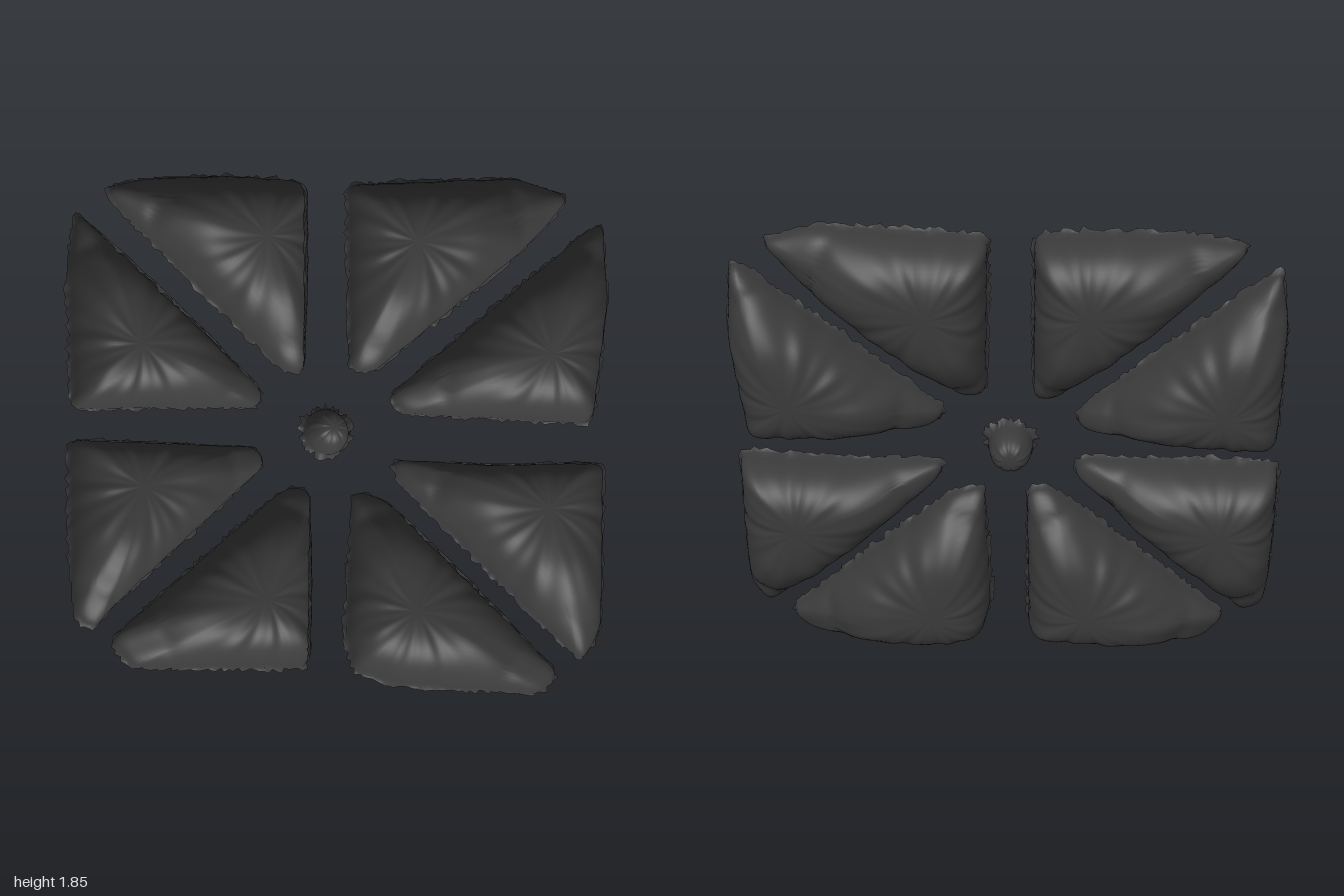
import * as THREE from 'three';

const fabric = new THREE.MeshStandardMaterial({ color: 0x3a3a3a, side: THREE.DoubleSide });

// Small seeded generator for the frayed hems
let seed = 7;
const rand = () => (seed = (seed * 16807) % 2147483647) / 2147483647;

// Closed outline with rounded corners, sampled evenly
function roundedOutline(corners, radius, count) {
  const pts = corners.map(c => new THREE.Vector2(...c));
  if (THREE.ShapeUtils.isClockWise(pts)) pts.reverse();
  const path = new THREE.Path();
  const toward = (a, b) => a.clone().lerp(b, Math.min(0.5, radius / a.distanceTo(b)));
  pts.forEach((p, i) => {
    const s = toward(p, pts[(i + pts.length - 1) % pts.length]);
    const e = toward(p, pts[(i + 1) % pts.length]);
    if (i === 0) path.moveTo(s.x, s.y); else path.lineTo(s.x, s.y);
    path.quadraticCurveTo(p.x, p.y, e.x, e.y);
  });
  path.closePath();
  return path.getSpacedPoints(count).slice(0, count);
}

// Puffed cloth shell, open at the front, bulging toward -z, with a ragged hem
function puffedShell(name, corners, center, { depth, taper, fray, count, phase }) {
  const rim = 0.085, rings = 18;
  const outline = roundedOutline(corners, 0.04, count);
  const [cx, cy] = center;
  const pos = [], index = [];

  // Frayed hem
  for (const p of outline) {
    const d = Math.hypot(p.x - cx, p.y - cy);
    const out = 1 + (rand() * fray) / d;
    pos.push(cx + (p.x - cx) * out, cy + (p.y - cy) * out, rim + 0.004 + 0.022 * rand() ** 2);
  }
  // Rings from the rim to the crown
  for (let r = 0; r < rings; r++) {
    const u = Math.cos((r / rings) * Math.PI / 2);
    const rise = Math.pow(Math.max(0, 1 - u ** 3), 0.42);
    for (const p of outline) {
      const dx = (p.x - cx) * u, dy = (p.y - cy) * u;
      const e = Math.hypot(dx, dy), a = Math.atan2(dy, dx);
      const thin = 1 - taper * THREE.MathUtils.smoothstep(e, 0.2, 0.55);
      const pinch = 1 - 0.25 * taper * Math.exp(-(((e - 0.4) / 0.025) ** 2));
      const folds = u * u * (0.02 * Math.sin(a * 9 + phase) + 0.014 * Math.sin(a * 17 + phase * 2 + e * 8));
      const pull = 1 + 0.006 * u * Math.sin(a * 13 + phase);
      pos.push(cx + dx * pull, cy + dy * pull, rim - depth * rise * thin * pinch * (1 + folds * 2));
    }
  }
  pos.push(cx, cy, rim - depth);

  for (let r = 0; r < rings; r++) {
    for (let j = 0; j < count; j++) {
      const k = (j + 1) % count;
      const a = r * count + j, b = r * count + k;
      index.push(a, a + count, b, b, a + count, b + count);
    }
  }
  const crown = (rings + 1) * count;
  for (let j = 0; j < count; j++) {
    index.push(rings * count + j, crown, rings * count + (j + 1) % count);
  }

  const geo = new THREE.BufferGeometry();
  geo.setAttribute('position', new THREE.Float32BufferAttribute(pos, 3));
  geo.setIndex(index);
  geo.computeVertexNormals();
  const mesh = new THREE.Mesh(geo, fabric);
  mesh.name = name;
  return mesh;
}

// Eight triangular cushions: name, crown centre, outline corners
const CUSHIONS = [
  ['topRightCushion', [-0.28, 1.61],
    [[-0.83, 1.79], [-0.78, 1.72], [-0.17, 1.15], [-0.09, 1.14], [-0.09, 1.82], [-0.38, 1.835], [-0.68, 1.82]]],
  ['topLeftCushion', [0.28, 1.6],
    [[0.07, 1.81], [0.08, 1.16], [0.16, 1.15], [0.66, 1.57], [0.78, 1.69], [0.85, 1.78], [0.66, 1.84]]],
  ['leftUpperCushion', [0.77, 1.21],
    [[0.92, 1.67], [0.22, 1.07], [0.27, 1.01], [0.94, 1.0], [0.985, 1.42], [0.965, 1.69]]],
  ['leftLowerCushion', [0.77, 0.65],
    [[0.23, 0.84], [0.25, 0.77], [0.84, 0.22], [0.92, 0.15], [0.985, 0.27], [0.98, 0.86], [0.6, 0.835]]],
  ['bottomLeftCushion', [0.28, 0.24],
    [[0.09, 0.72], [0.2, 0.7], [0.84, 0.1], [0.77, 0.02], [0.25, 0.02], [0.09, 0.06], [0.065, 0.2]]],
  ['bottomRightCushion', [-0.29, 0.25],
    [[-0.07, 0.72], [-0.15, 0.725], [-0.32, 0.58], [-0.83, 0.12], [-0.76, 0.015], [-0.08, 0.06]]],
  ['rightLowerCushion', [-0.77, 0.66],
    [[-0.985, 0.86], [-0.27, 0.865], [-0.24, 0.8], [-0.84, 0.23], [-0.9, 0.15], [-0.97, 0.19], [-0.985, 0.35]]],
  ['rightUpperCushion', [-0.77, 1.2],
    [[-0.94, 1.7], [-0.88, 1.65], [-0.25, 1.08], [-0.26, 1.01], [-0.6, 1.0], [-0.97, 0.98], [-0.975, 1.48]]],
];

export function createModel() {
  const group = new THREE.Group();
  group.name = 'cushionPanel';

  CUSHIONS.forEach(([name, center, corners], i) => {
    group.add(puffedShell(name, corners, center,
      { depth: 0.215, taper: 0.55, fray: 0.018, count: 150, phase: i * 1.7 }));
  });

  // Small round button in the middle
  const circle = Array.from({ length: 10 }, (_, i) => {
    const a = (i / 10) * Math.PI * 2;
    return [-0.01 + 0.085 * Math.cos(a), 0.93 + 0.085 * Math.sin(a)];
  });
  group.add(puffedShell('centerButton', circle, [-0.01, 0.93],
    { depth: 0.125, taper: 0, fray: 0.03, count: 60, phase: 0.5 }));

  return group;
}
